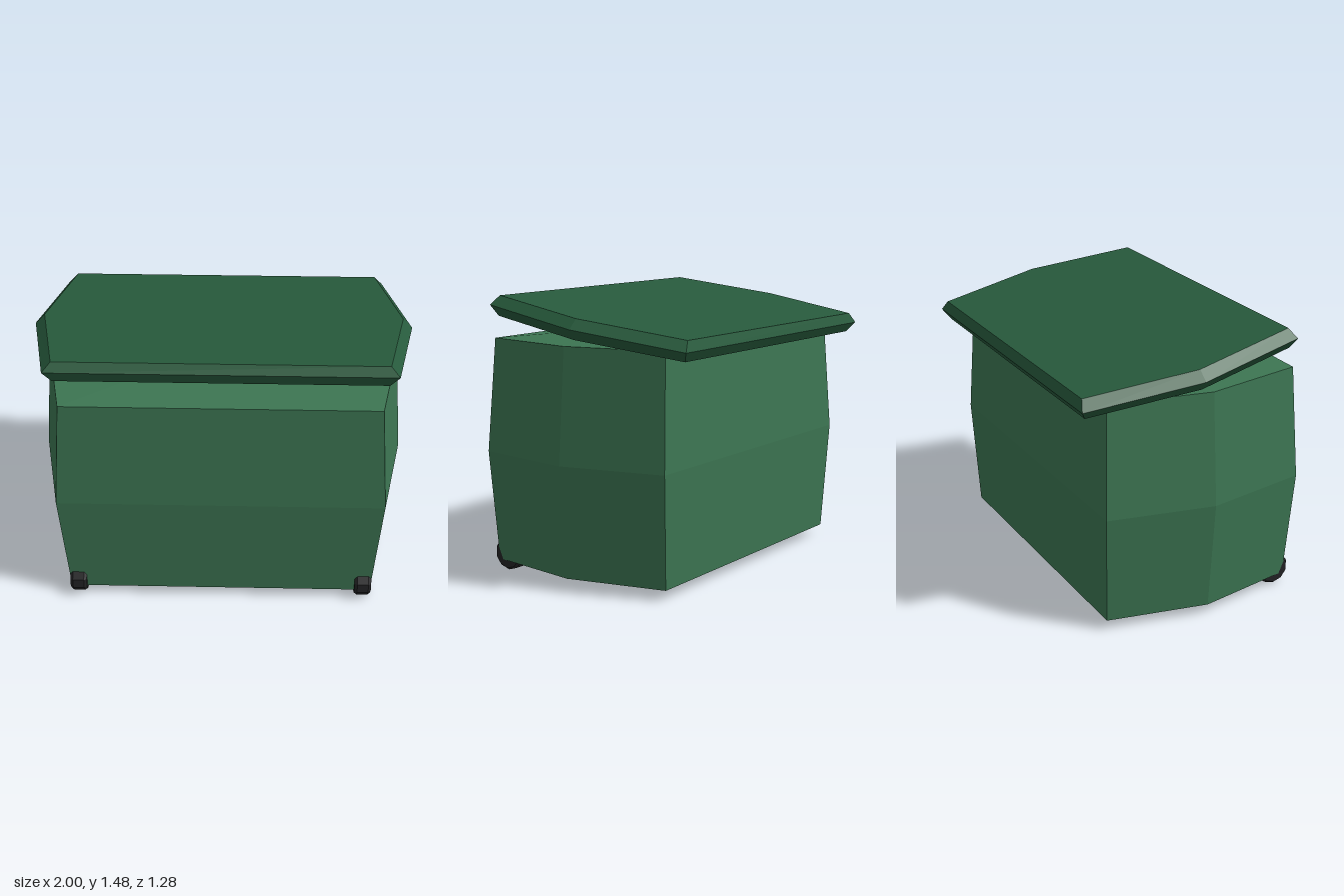
import * as THREE from 'three';

const mat = (name, color) => {
  const m = new THREE.MeshStandardMaterial({ color, flatShading: true });
  m.name = name;
  return m;
};

// Six-sided ring, counter-clockwise from above: front, side and back points as [x, y, z]
const ring = (front, side, back) => {
  const flip = ([x, y, z]) => [-x, y, z];
  return [front, side, back, flip(back), flip(side), flip(front)];
};

// Closed solid through the rings from bottom to top, with fans as end caps
function loft(rings, bottomCentre, topCentre) {
  const p = [];
  const tri = (...corners) => corners.forEach((c) => p.push(...c));
  const n = rings[0].length;
  for (let i = 0; i < n; i++) {
    const j = (i + 1) % n;
    for (let k = 0; k < rings.length - 1; k++) {
      const a = rings[k], b = rings[k + 1];
      tri(a[i], a[j], b[j]);
      tri(a[i], b[j], b[i]);
    }
    const top = rings[rings.length - 1];
    tri(bottomCentre, rings[0][j], rings[0][i]);
    tri(topCentre, top[i], top[j]);
  }
  const g = new THREE.BufferGeometry();
  g.setAttribute('position', new THREE.Float32BufferAttribute(p, 3));
  g.computeVertexNormals();
  return g;
}

export function createModel() {
  const model = new THREE.Group();
  model.name = 'wheeledBin';
  const green = mat('bin green', 0x3c7552);
  const darkGreen = mat('lid green', 0x275a3c);
  const black = mat('wheel black', 0x232325);

  const add = (name, geometry, material) => {
    const mesh = new THREE.Mesh(geometry, material);
    mesh.name = name;
    model.add(mesh);
    return mesh;
  };

  // Bin body, bulging at mid height and with shallow peaks above and below
  const level = (y, x, side, front, back) => ring([x, y, front], [side, y, 0.065], [x, y, back]);
  add('body', loft([
    level(0.055, 0.815, 0.92, 0.605, -0.475),
    level(0.65, 0.86, 0.97, 0.63, -0.5),
    level(1.25, 0.815, 0.92, 0.605, -0.475),
  ], [0, 0.025, 0.065], [0, 1.285, 0.065]), green);

  // Tilted lid with a pointed rim
  add('lid', loft([
    ring([0.84, 1.37, 0.555], [0.95, 1.29, -0.025], [0.84, 1.21, -0.605]),
    ring([0.885, 1.43, 0.575], [1, 1.345, -0.033], [0.885, 1.26, -0.64]),
    ring([0.84, 1.477, 0.545], [0.95, 1.396, -0.038], [0.84, 1.315, -0.62]),
  ], [0, 1.29, -0.025], [0, 1.396, -0.038]), darkGreen);

  // Ten-sided front wheels with bevelled rims
  const profile = [[0, -0.045], [0.078, -0.045], [0.09, -0.03], [0.09, 0.03], [0.078, 0.045], [0, 0.045]]
    .map(([r, y]) => new THREE.Vector2(r, y));
  const wheelShape = new THREE.LatheGeometry(profile, 10, Math.PI / 2);
  wheelShape.rotateZ(Math.PI / 2);
  for (const side of [-1, 1]) {
    const wheel = add(side > 0 ? 'leftWheel' : 'rightWheel', wheelShape, black);
    wheel.position.set(side * 0.775, 0.09, 0.55);
  }
  return model;
}
